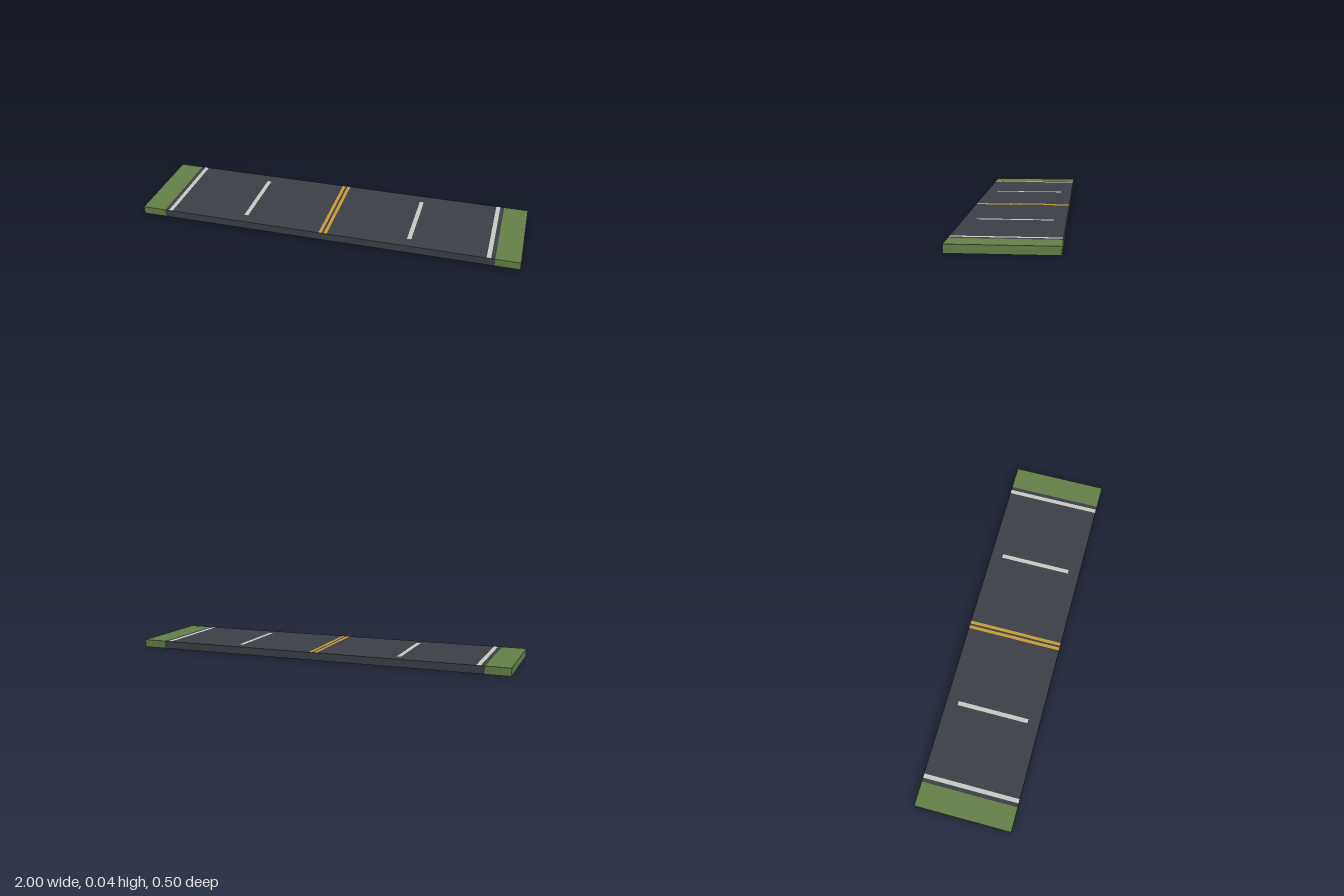
import * as THREE from 'three';

const H = 0.04, DEPTH = 0.5, ROAD = 0.875;

function material(name, color) {
  const m = new THREE.MeshStandardMaterial({ color, side: THREE.DoubleSide });
  m.name = name;
  return m;
}

export function createModel() {
  const asphalt = material('asphalt', 0x3c4047);
  const grass = material('grass', 0x668048);
  const white = material('white paint', 0xcbcbc5);
  const yellow = material('yellow paint', 0xc69d35);
  const model = new THREE.Group();
  model.name = 'roadSection';

  function panel(parent, name, mat, w, h, position, rx = 0, ry = 0) {
    const mesh = new THREE.Mesh(new THREE.PlaneGeometry(w, h), mat);
    mesh.name = name;
    mesh.position.set(...position);
    mesh.rotation.set(rx, ry, 0);
    parent.add(mesh);
  }

  // Top and long side walls of a slab that is open underneath
  function slab(name, mat, x, w) {
    const group = new THREE.Group();
    group.name = name;
    panel(group, name + 'Top', mat, w, DEPTH, [x, H, 0], -Math.PI / 2);
    panel(group, name + 'FrontWall', mat, w, H, [x, H / 2, DEPTH / 2]);
    panel(group, name + 'BackWall', mat, w, H, [x, H / 2, -DEPTH / 2], 0, Math.PI);
    model.add(group);
    return group;
  }

  // Painted line across the road
  function line(name, mat, x, w, length) {
    panel(model, name, mat, w, length, [x, H + 0.001, 0], -Math.PI / 2);
  }

  slab('road', asphalt, 0, ROAD * 2);

  for (const [side, s] of [['left', 1], ['right', -1]]) {
    // Grass verge with its end wall
    const verge = slab(side + 'Verge', grass, s * (1 + ROAD) / 2, 1 - ROAD);
    panel(verge, side + 'VergeEndWall', grass, DEPTH, H, [s, H / 2, 0], 0, s * Math.PI / 2);

    // Road markings
    line(side + 'EdgeLine', white, s * 0.844, 0.022, DEPTH);
    line(side + 'LaneDash', white, s * 0.4375, 0.022, 0.375);
    line(side + 'CentreLine', yellow, s * 0.0135, 0.0165, DEPTH);
  }
  return model;
}
